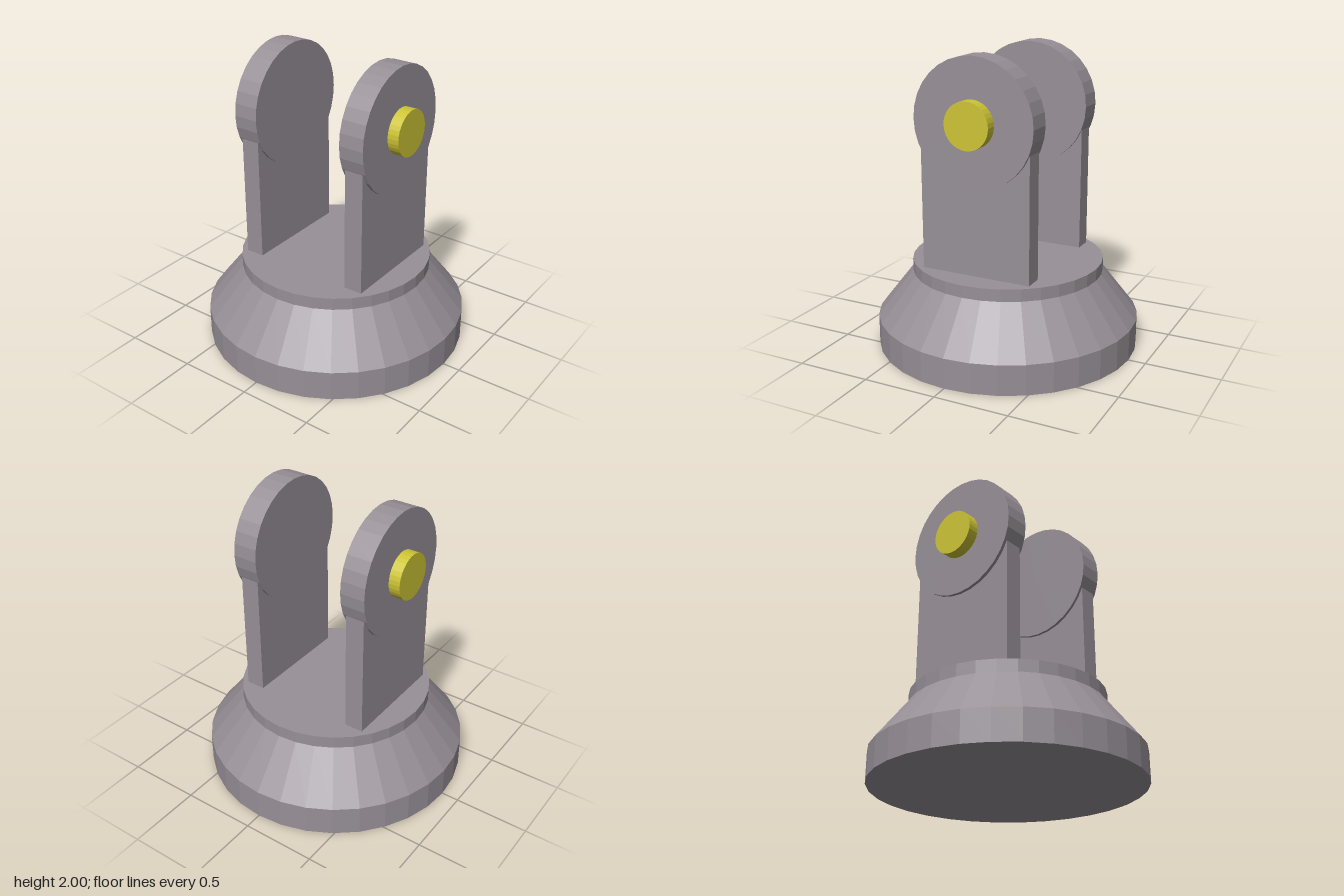
import * as THREE from 'three';

const SIDES = 32;
const AXLE_Y = 1.586;

export function createModel() {
  const model = new THREE.Group();
  model.name = 'clevisMount';

  const grey = new THREE.MeshStandardMaterial({ color: 0x979097, flatShading: true });
  grey.name = 'warm grey';
  const yellow = new THREE.MeshStandardMaterial({ color: 0xcdc435, flatShading: true });
  yellow.name = 'yellow';

  function add(parent, name, geometry, material, x, y) {
    const mesh = new THREE.Mesh(geometry, material);
    mesh.name = name;
    mesh.position.set(x, y, 0);
    parent.add(mesh);
  }

  // Cylinder lying along x
  const disc = (radius, width) =>
    new THREE.CylinderGeometry(radius, radius, width, SIDES).rotateZ(Math.PI / 2);

  // Turned base: wide foot, sloping shoulder, short collar
  const profile = [[0, 0], [0.883, 0], [0.883, 0.203], [0.642, 0.513], [0.642, 0.595], [0, 0.595]]
    .map(([r, y]) => new THREE.Vector2(r, y));
  add(model, 'base', new THREE.LatheGeometry(profile, SIDES), grey, 0, 0);

  // Two mirrored brackets
  for (const side of [1, -1]) {
    const bracket = new THREE.Group();
    bracket.name = side > 0 ? 'leftBracket' : 'rightBracket';
    model.add(bracket);

    // Flat upright, from the base to the axle height
    const bottom = 0.58;
    add(bracket, 'upright', new THREE.BoxGeometry(0.128, AXLE_Y - bottom, 0.76), grey,
      side * 0.404, (AXLE_Y + bottom) / 2);
    // Round head
    add(bracket, 'head', disc(0.414, 0.17), grey, side * 0.405, AXLE_Y);
    // Pin on the outer face
    add(bracket, 'pin', disc(0.152, 0.096), yellow, side * 0.519, AXLE_Y);
  }

  return model;
}
